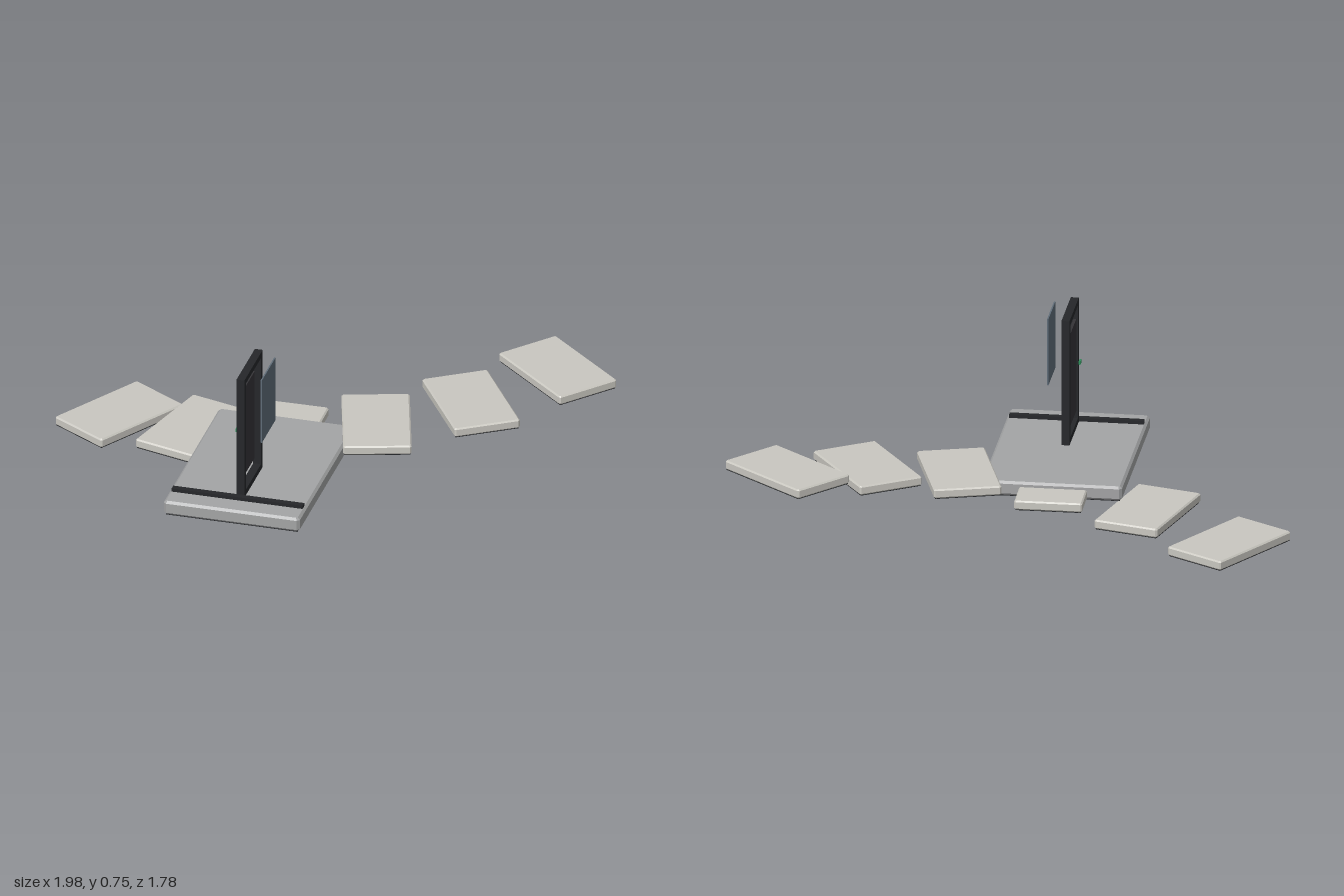
import * as THREE from 'three';

const mat = (name, color, extra = {}) => Object.assign(new THREE.MeshStandardMaterial({ color, ...extra }), { name });

export function createModel() {
  const stone = mat('paleStone', 0xc9c7c0);
  const deckGrey = mat('deckGrey', 0xa3a4a5);
  const black = mat('blackMetal', 0x25272a);
  const charcoal = mat('charcoal', 0x343337);
  const glass = mat('blueGreyGlass', 0x5f6c78);
  const green = mat('greenLight', 0x2f8f5b);

  const model = new THREE.Group();
  model.name = 'curvedStairWithGate';

  const box = (parent, name, material, w, h, d, x, y, z) => {
    const mesh = new THREE.Mesh(new THREE.BoxGeometry(w, h, d), material);
    mesh.name = name;
    mesh.position.set(x, y, z);
    parent.add(mesh);
    return mesh;
  };

  // Slab with chamfered edges and a thin dark underside, standing on local y = 0
  const slab = (name, material, w, h, d, bevel) => {
    const group = new THREE.Group();
    group.name = name;
    const plate = 0.003;
    const x = w / 2 - bevel, z = d / 2 - bevel, c = bevel * 0.6;
    const outline = new THREE.Shape([
      [-x + c, -z], [x - c, -z], [x, -z + c], [x, z - c],
      [x - c, z], [-x + c, z], [-x, z - c], [-x, -z + c],
    ].map(([px, py]) => new THREE.Vector2(px, py)));
    const geometry = new THREE.ExtrudeGeometry(outline, {
      depth: h - plate - 2 * bevel, bevelEnabled: true,
      bevelSize: bevel, bevelThickness: bevel, bevelSegments: 1,
    });
    geometry.rotateX(-Math.PI / 2).translate(0, bevel + plate, 0);
    const body = new THREE.Mesh(geometry, material);
    body.name = name + 'Body';
    group.add(body);
    box(group, name + 'Underside', black, w - 2 * bevel, plate, d - 2 * bevel, 0, plate / 2, 0);
    return group;
  };

  // Six treads rising around a common centre
  const radius = 1.436;
  for (let i = 0; i < 6; i++) {
    const a = THREE.MathUtils.degToRad(1.9 + 16.05 * i);
    const step = slab('step' + (i + 1), stone, 0.47, 0.043, 0.287, 0.006);
    step.position.set(1.015 - radius * Math.cos(a), 0.066 * i, -0.79 + radius * Math.sin(a));
    step.rotation.y = a;
    model.add(step);
  }

  // Landing, turned in line with the third tread
  const landing = new THREE.Group();
  landing.name = 'landing';
  landing.position.set(-0.475, 0, 0.215);
  landing.rotation.y = THREE.MathUtils.degToRad(33.3);
  model.add(landing);
  const deck = slab('platform', deckGrey, 0.865, 0.066, 0.592, 0.01);
  deck.position.y = 0.13;
  landing.add(deck);
  box(landing, 'floorRail', black, 0.026, 0.016, 0.57, -0.327, 0.203, 0);

  // Upright gate frame
  const gate = new THREE.Group();
  gate.name = 'gate';
  gate.position.set(-0.168, 0.196, 0.006);
  landing.add(gate);
  const W = 0.284, H = 0.556, T = 0.026, D = 0.034;
  for (const s of [-1, 1]) box(gate, 'framePost', black, T, H, D, s * (W - T) / 2, H / 2, 0);
  for (const y of [T / 2, H - T / 2]) box(gate, 'frameRail', black, W - 2 * T, T, D, 0, y, 0);

  // Inner dark panel, floating glass panel and small light
  box(gate, 'innerPanel', charcoal, 0.17, 0.412, 0.012, 0, 0.275, -0.008);
  box(gate, 'glassPanel', glass, 0.21, 0.296, 0.006, 0, 0.399, 0.08);
  box(gate, 'statusLight', green, 0.03, 0.014, 0.008, -0.084, 0.29, -0.03);

  return model;
}
